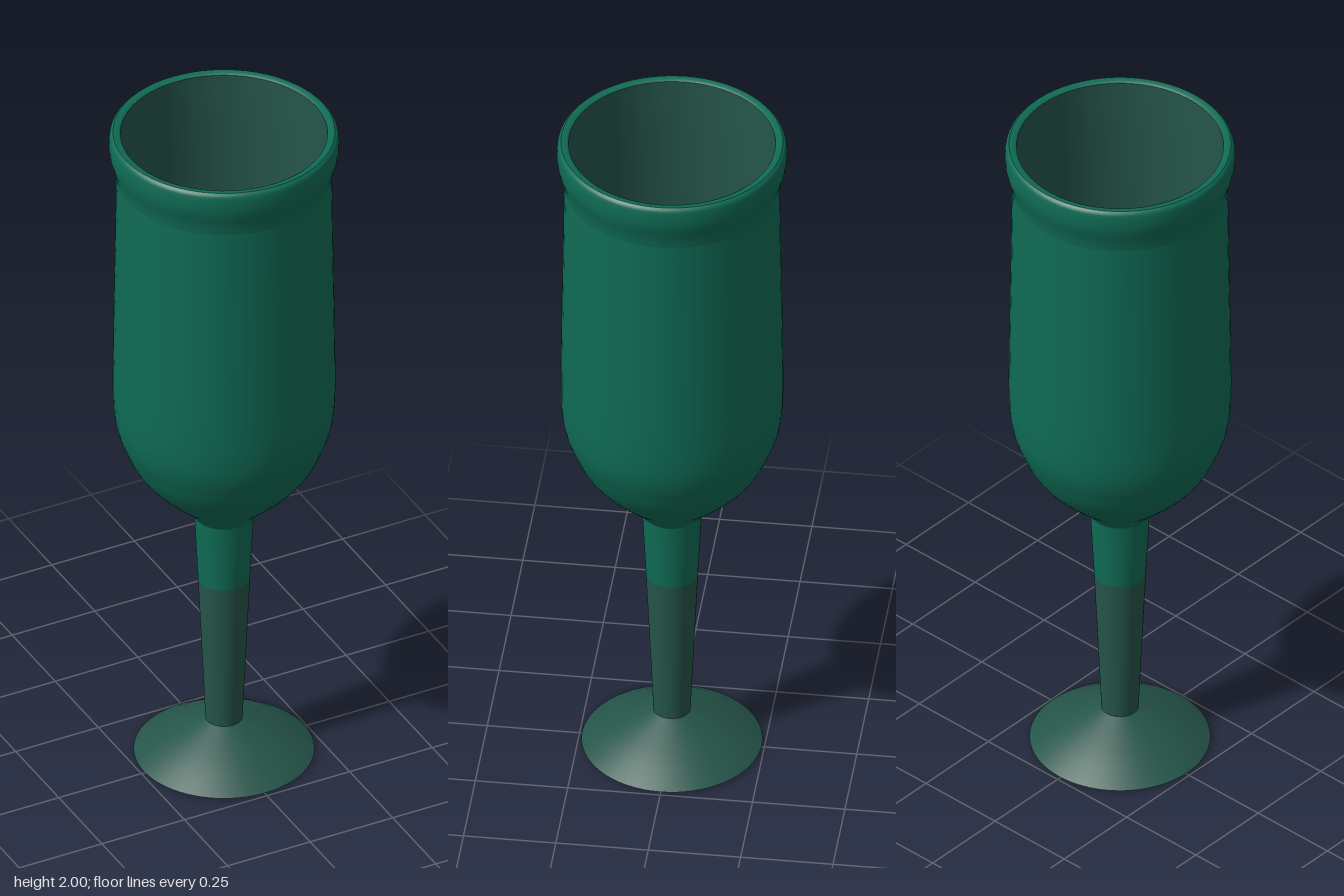
import * as THREE from 'three';

const SEGMENTS = 64;
const green = new THREE.MeshStandardMaterial({ color: 0x0f6b55, side: THREE.DoubleSide });
const darkGreen = new THREE.MeshStandardMaterial({ color: 0x25554a, side: THREE.DoubleSide });

// Revolve [radius, height] points; outer profiles run upward, inner ones downward
function turned(name, points, material, smooth = 0) {
  let profile = points.map(([r, y]) => new THREE.Vector2(r, y));
  if (smooth) profile = new THREE.SplineCurve(profile).getPoints(smooth);
  const mesh = new THREE.Mesh(new THREE.LatheGeometry(profile, SEGMENTS), material);
  mesh.name = name;
  return mesh;
}

export function createModel() {
  const goblet = new THREE.Group();
  goblet.name = 'goblet';

  goblet.add(
    // Foot: shallow flared cone with a hollow underside
    turned('footUnderside', [[0, 0.075], [0.05, 0.07], [0.13, 0.045], [0.2, 0.012], [0.235, 0]], darkGreen),
    turned('footEdge', [[0.235, 0], [0.243, 0.005]], darkGreen),
    turned('footTop', [[0.243, 0.005], [0.195, 0.037], [0.14, 0.067], [0.09, 0.09], [0.05, 0.108]], darkGreen),

    // Stem: dark below, bright above, widening towards the bowl
    turned('lowerStem', [[0.05, 0.108], [0.054, 0.2], [0.07, 0.56]], darkGreen),
    turned('upperStem', [[0.07, 0.56], [0.08, 0.765]], green),

    // Bowl outside with rounded base and almost straight wall
    turned('bowlOutside', [
      [0.08, 0.765], [0.108, 0.8], [0.162, 0.85], [0.21, 0.9], [0.245, 0.95],
      [0.268, 1.0], [0.286, 1.05], [0.296, 1.11], [0.299, 1.2], [0.297, 1.4],
      [0.293, 1.65], [0.29, 1.86],
    ], green, 44),

    // Rolled lip
    turned('lip', [
      [0.29, 1.86], [0.295, 1.89], [0.305, 1.925], [0.309, 1.95], [0.309, 1.975],
      [0.306, 1.992], [0.298, 2.0],
    ], green, 20),
    turned('lipTop', [[0.298, 2.0], [0.285, 2.0], [0.278, 1.995]], green),

    // Bowl inside with a flat floor
    turned('bowlInside', [
      [0.278, 1.995], [0.275, 1.85], [0.276, 1.5], [0.278, 1.2], [0.272, 1.1],
      [0.252, 1.02], [0.222, 0.95], [0.18, 0.895], [0.135, 0.855], [0.092, 0.83],
    ], darkGreen, 40),
    turned('bowlFloor', [[0.092, 0.83], [0, 0.826]], darkGreen),
  );
  return goblet;
}
